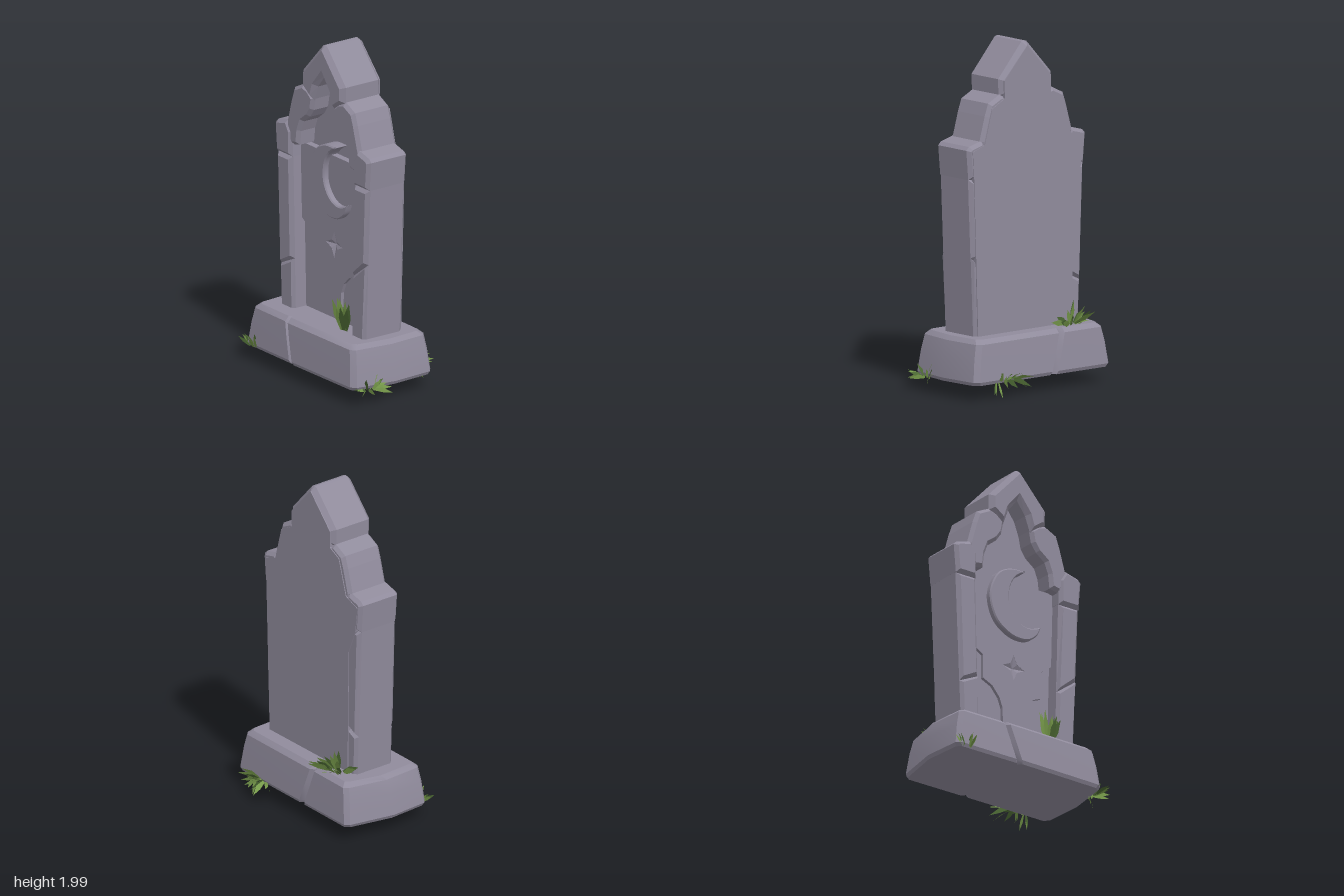
import * as THREE from 'three';
import { mergeGeometries, toCreasedNormals } from 'three/addons/utils/BufferGeometryUtils.js';

const material = (name, color, side = THREE.FrontSide) => {
  const m = new THREE.MeshStandardMaterial({ color, side });
  m.name = name;
  return m;
};

const outline = (pts) => new THREE.Shape(pts.map(([x, y]) => new THREE.Vector2(x, y)));
const mirror = (pts) => pts.map(([x, y]) => [-x, y]).reverse();

// Extrudes a shape between two depths, chamfering inside its outline.
function slab(shape, z0, z1, bevel = 0) {
  const geo = new THREE.ExtrudeGeometry(shape, {
    depth: z1 - z0 - 2 * bevel, bevelEnabled: bevel > 0, bevelThickness: bevel,
    bevelSize: bevel, bevelOffset: -bevel, bevelSegments: 1, curveSegments: 8,
  });
  return geo.translate(0, 0, z0 + bevel);
}

function triangles(positions) {
  const geo = new THREE.BufferGeometry();
  geo.setAttribute('position', new THREE.Float32BufferAttribute(positions, 3));
  geo.computeVertexNormals();
  return geo;
}

// Plinth lofted from shrinking outlines; the two cracks lean with height.
function plinthGeometry() {
  const ring = [
    [-0.5, -0.23], [-0.475, -0.255], [-0.105, -0.25, 1], [-0.085, -0.222, 1], [-0.06, -0.25, 1],
    [0.475, -0.245], [0.505, -0.22], [0.52, 0.03], [0.485, 0.28], [0.455, 0.305],
    [-0.08, 0.312, 1], [-0.1, 0.288, 1], [-0.115, 0.305, 1], [-0.505, 0.303], [-0.53, 0.28], [-0.55, 0.05],
  ];
  const levels = [[0.095, 0.98, 0.01], [0.115, 1, 0], [0.24, 0.965, 0.012], [0.325, 0.925, 0.022], [0.35, 0.88, 0.05]];
  const rows = levels.map(([y, s, inset]) => ring.map(([x, z, crack]) => [
    x * s - (crack ? (y - 0.1) * 0.34 : 0), y, z - Math.sign(z - 0.03) * inset,
  ]));
  const out = [], n = ring.length;
  for (let i = 0; i < n; i++) {
    const j = (i + 1) % n;
    for (let k = 0; k + 1 < rows.length; k++) {
      const a = rows[k][i], b = rows[k][j], c = rows[k + 1][j], d = rows[k + 1][i];
      out.push(...a, ...d, ...c, ...a, ...c, ...b);
    }
    const top = rows[rows.length - 1];
    out.push(0, 0.35, 0.03, ...top[j], ...top[i]);
    out.push(0, 0.095, 0.03, ...rows[0][i], ...rows[0][j]);
  }
  return toCreasedNormals(triangles(out), 0.5);
}

function seeded(seed) {
  return () => {
    seed = (seed * 16807) % 2147483647;
    return seed / 2147483647;
  };
}

// One pointed, drooping leaf.
function blade(root, dir, length, width, droop) {
  const side = new THREE.Vector3().crossVectors(dir, new THREE.Vector3(0.3, 0.2, 1)).normalize();
  const at = (t, w) => root.clone().addScaledVector(dir, length * t)
    .addScaledVector(side, w * width).add(new THREE.Vector3(0, -droop * length * t * t, 0));
  const a = at(0, -0.25), b = at(0, 0.25), c = at(0.5, 0.5), d = at(0.5, -0.5), e = at(1, 0);
  return triangles([a, b, c, a, c, d, d, c, e].flatMap((v) => v.toArray()));
}

export function createModel() {
  const model = new THREE.Group();
  model.name = 'gravestone';
  model.rotation.y = -0.075;
  const stone = material('grey stone', 0x908b9c);
  const greens = [
    material('grass green', 0x76994a, THREE.DoubleSide),
    material('dark grass green', 0x4d6a34, THREE.DoubleSide),
  ];
  const add = (name, geo, mat = stone) => {
    const mesh = new THREE.Mesh(geo, mat);
    mesh.name = name;
    model.add(mesh);
  };

  add('plinth', plinthGeometry());

  // Flat back wall, which also closes the recess under the arch
  add('backWall', slab(outline([
    [-0.33, 0.33], [0.375, 0.33], [0.405, 1.25], [0.415, 1.41], [0.325, 1.44], [0.27, 1.64], [0.175, 1.69],
    [0.178, 1.79], [0.005, 1.975], [-0.17, 1.79], [-0.17, 1.69], [-0.25, 1.65], [-0.315, 1.44],
    [-0.42, 1.4], [-0.4, 1.25], [-0.34, 1.1],
  ]), -0.114, 0.04));

  // Pillars, each broken by a slanted crack
  const pillar = (side, outerCrack, innerCrack) => {
    const place = (pts) => outline(side < 0 ? mirror(pts) : pts);
    const xo = (y) => 0.392 + (y - 0.33) * 0.041;
    const xi = (y) => 0.268 + (y - 0.33) * 0.026;
    const label = side < 0 ? 'right' : 'left';
    add(label + 'PillarFoot', slab(place([
      [xi(0.33), 0.33], [xo(0.33), 0.33], [xo(outerCrack), outerCrack], [xi(innerCrack), innerCrack],
    ]), -0.108, 0.162, 0.018));
    add(label + 'PillarShaft', slab(place([
      [xi(innerCrack), innerCrack], [xo(outerCrack), outerCrack], [xo(1.25), 1.25], [xi(1.25), 1.25],
    ]), -0.11, 0.165, 0.022));
    add(label + 'PillarCap', slab(place([
      [0.29, 1.25], [0.43, 1.25], [0.445, 1.42], [0.425, 1.44], [0.33, 1.465], [0.29, 1.4],
    ]), -0.111, 0.168, 0.02));
    // Curved arch stone above the cap
    add(label + 'ArchStone', slab(place([
      [0.3, 1.32], [0.235, 1.335], [0.225, 1.42], [0.2, 1.485], [0.14, 1.53], [0.105, 1.58], [0.09, 1.655],
      [0.14, 1.695], [0.195, 1.712], [0.28, 1.67], [0.305, 1.6], [0.345, 1.46], [0.34, 1.38],
    ].reverse()), -0.109, 0.158, 0.02));
  };
  pillar(-1, 0.585, 0.645);
  pillar(1, 0.8, 0.7);

  // Pointed top stone
  add('keystone', slab(outline([
    [-0.195, 1.705], [-0.095, 1.64], [-0.06, 1.735], [0.003, 1.815], [0.06, 1.735], [0.095, 1.64],
    [0.197, 1.705], [0.2, 1.8], [0.025, 1.995], [0.005, 2], [-0.012, 1.995], [-0.195, 1.8],
  ]), -0.112, 0.17, 0.028));

  // Inset panel with a raised, stepped shield
  add('panel', slab(outline([[-0.28, 0.33], [0.28, 0.33], [0.31, 1.32], [-0.31, 1.32]]), 0.03, 0.07));
  const shield = outline([
    [-0.305, 1.33], [-0.285, 0.88], [-0.195, 0.825], [-0.195, 0.68], [-0.13, 0.65], [-0.08, 0.59], [-0.06, 0.535],
    [-0.055, 0.44], [0.08, 0.44], [0.085, 0.53], [0.11, 0.59], [0.16, 0.64], [0.21, 0.66], [0.21, 0.825],
    [0.285, 0.88], [0.305, 1.33],
  ]);
  const star = Array.from({ length: 8 }, (_, i) => {
    const r = i % 2 ? 0.034 : 0.077, a = (i * Math.PI) / 4;
    return [0.02 + r * Math.cos(a), 0.8 + r * Math.sin(a)];
  });
  shield.holes.push(new THREE.Path(star.map(([x, y]) => new THREE.Vector2(x, y))));
  add('shield', slab(shield, 0.05, 0.09));

  // Carved star: facets sinking towards the middle
  add('carvedStar', triangles(star.flatMap(([x, y], i) => {
    const [u, v] = star[(i + 1) % 8];
    return [0.02, 0.8, 0.0705, x, y, 0.089, u, v, 0.089];
  })));

  // Raised crescent
  const vec = (pts) => pts.map(([x, y]) => new THREE.Vector2(x, y));
  const moon = new THREE.Shape();
  moon.moveTo(0.08, 1.4);
  moon.splineThru(vec([[-0.03, 1.393], [-0.12, 1.335], [-0.17, 1.2], [-0.13, 1.06], [-0.03, 0.985], [0.08, 0.975], [0.155, 1.02], [0.188, 1.085]]));
  moon.splineThru(vec([[0.1, 1.058], [0.02, 1.09], [-0.03, 1.17], [-0.03, 1.27], [0.01, 1.35], [0.08, 1.4]]));
  add('crescent', toCreasedNormals(slab(moon, 0.035, 0.125, 0.007), 0.5));

  // Grass tufts: root, main direction, spread along x/y/z, count, length, droop
  const tufts = [
    ['frontTuft', [0.21, 0.36, 0.165], [0, 1, 0.15], [0.35, 0.2, 0.15], 14, 0.19, 0.05],
    ['rearTuft', [-0.29, 0.35, -0.16], [0, 0.6, -0.25], [1, 0.3, 0.5], 20, 0.15, 0.15],
    ['rearGroundTuft', [0.27, 0.11, -0.245], [0, 0.35, -0.7], [0.9, 0.5, 0.2], 14, 0.13, 0.25],
    ['fallenBlades', [0.34, 0.1, -0.245], [0, -0.8, -0.3], [0.5, 0.1, 0.1], 3, 0.1, 0],
    ['frontCornerTuft', [-0.45, 0.1, 0.3], [0, 0.8, 0.3], [0.8, 0.2, 0.2], 10, 0.09, 0.1],
    ['sideTuft', [0.49, 0.09, 0.2], [0.35, 0.5, 0], [0.2, 0.6, 0.9], 14, 0.11, 0.2],
  ];
  tufts.forEach(([name, root, main, spread, count, length, droop], t) => {
    const rnd = seeded(7919 * (t + 3));
    for (let i = 0; i < 20; i++) rnd();
    const sets = [[], []];
    for (let i = 0; i < count; i++) {
      const lean = new THREE.Vector3(...spread.map((s) => s * (rnd() * 2 - 1)));
      const base = new THREE.Vector3(...root).addScaledVector(lean, 0.05);
      base.y = root[1];
      const dir = new THREE.Vector3(...main).add(lean).normalize();
      sets[i % 3 === 2 ? 1 : 0].push(blade(base, dir, length * (0.7 + 0.35 * rnd()), length * 0.24, droop));
    }
    sets.forEach((set, k) => add(name + (k ? 'Dark' : ''), mergeGeometries(set), greens[k]));
  });

  return model;
}
